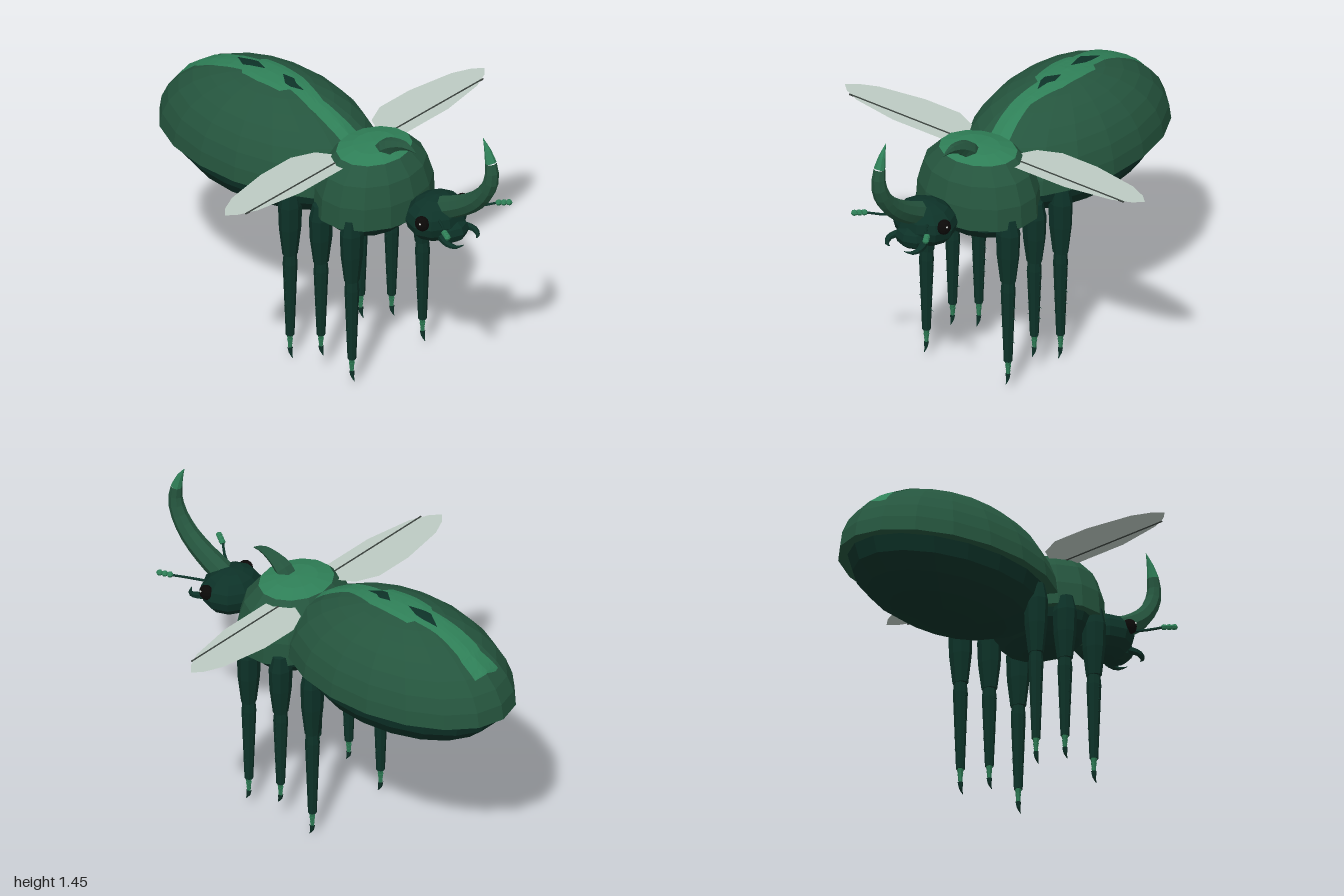
import * as THREE from 'three';

const mat = (name, color, side = THREE.FrontSide) => {
  const m = new THREE.MeshStandardMaterial({ color, side });
  m.name = name;
  return m;
};

export function createModel() {
  const shell = mat('shell green', 0x25553e);
  const dark = mat('dark underside green', 0x0d3228);
  const bright = mat('bright green', 0x2f8058, THREE.DoubleSide);
  const black = mat('eye black', 0x0b0908);
  const white = mat('eye glint', 0xd8dcd8);
  const wingMat = mat('pale wing', 0xbdcbc3, THREE.DoubleSide);
  const veinMat = mat('wing vein', 0x3a413d);
  const root = new THREE.Group();
  root.name = 'beetle';

  // Adds a mesh with faceted normals
  const add = (name, geo, material, pos = [0, 0, 0], parent = root) => {
    const g = geo.index ? geo.toNonIndexed() : geo;
    g.computeVertexNormals();
    const m = new THREE.Mesh(g, material);
    m.name = name;
    m.position.set(...pos);
    parent.add(m);
    return m;
  };
  // Turned form from [radius, y] pairs, listed bottom to top
  const lathe = (pts, sides, sx = 1, sz = 1) =>
    new THREE.LatheGeometry(pts.map(p => new THREE.Vector2(...p)), sides).scale(sx, 1, sz);
  const ball = (rx, ry, rz, w = 12, h = 8) => new THREE.SphereGeometry(1, w, h).scale(rx, ry, rz);
  // Tapered tube through points, radii evenly spaced along its length
  const taper = (pts, radii, sides = 8, n = 8) => {
    const curve = new THREE.CatmullRomCurve3(pts.map(p => new THREE.Vector3(...p)));
    const geo = new THREE.TubeGeometry(curve, n, 1, sides);
    const pos = geo.attributes.position, v = new THREE.Vector3();
    for (let i = 0; i <= n; i++) {
      const c = curve.getPointAt(i / n);
      const f = (i / n) * (radii.length - 1), k = Math.min(Math.floor(f), radii.length - 2);
      const r = THREE.MathUtils.lerp(radii[k], radii[k + 1], f - k);
      for (let j = 0; j <= sides; j++) {
        const id = i * (sides + 1) + j;
        v.fromBufferAttribute(pos, id).sub(c).multiplyScalar(r).add(c);
        pos.setXYZ(id, v.x, v.y, v.z);
      }
    }
    return geo;
  };
  // Quarter-ellipse profile of a dome, with a flat base
  const dome = (h, rings = 8) => [[0, 0], ...Array.from({ length: rings + 1 }, (_, i) => {
    const a = (i / rings) * Math.PI / 2;
    return [i === rings ? 0 : Math.cos(a), h * Math.sin(a)];
  })];

  // Wing cases and abdomen
  const cases = add('wingCases', lathe(dome(0.37), 18, 0.378, 0.61), shell, [0, 0.91, -0.39]);
  add('abdomen', ball(0.335, 0.24, 0.56, 18, 10), dark, [0, 0.91, -0.39]);

  // Painted patches draped over the wing cases; rows are [z, xMin, xMax]
  cases.updateMatrixWorld(true);
  const ray = new THREE.Raycaster();
  const drape = (name, rows, material, lift) => {
    const nu = 6, nv = 36, geo = new THREE.PlaneGeometry(1, 1, nu, nv), pos = geo.attributes.position;
    for (let i = 0; i < pos.count; i++) {
      const u = pos.getX(i) + 0.5;
      const f = (0.5 - pos.getY(i)) * (rows.length - 1), k = Math.min(Math.floor(f), rows.length - 2);
      const [z, a, b] = rows[k].map((q, j) => THREE.MathUtils.lerp(q, rows[k + 1][j], f - k));
      const x = THREE.MathUtils.lerp(a, b, u);
      ray.set(new THREE.Vector3(x + 1e-5, 3, z), new THREE.Vector3(0, -1, 0));
      const hit = ray.intersectObject(cases)[0];
      pos.setXYZ(i, x, (hit ? hit.point.y : 1.1) + lift, z);
    }
    add(name, geo, material);
  };
  drape('backStripe', [
    [-0.9, -0.06, 0.01], [-0.89, -0.09, 0.07], [-0.81, -0.06, 0.07], [-0.78, -0.07, 0.06],
    [-0.65, -0.07, 0.05], [-0.52, -0.06, 0.06], [-0.5, -0.08, 0.09], [-0.4, -0.09, 0.09],
    [-0.27, -0.08, 0.08], [-0.24, -0.04, 0.07], [-0.1, -0.06, 0.03], [0, -0.06, 0.04], [0.12, -0.05, 0.06],
  ], bright, 0.004);
  drape('frontSpot', [[-0.34, 0.02, 0.02], [-0.28, -0.03, 0.03], [-0.25, -0.03, 0.01], [-0.19, 0, 0]], dark, 0.008);
  drape('rearSpot', [[-0.62, 0.02, 0.02], [-0.54, -0.03, 0.03], [-0.5, -0.02, 0.03], [-0.43, 0, 0]], dark, 0.008);

  // Thorax: skirt, bright crown, underside
  add('thoraxShield', lathe([[0, 0], [1, 0], [0.98, 0.11], [0.87, 0.21], [0.63, 0.285]], 14, 0.305, 0.25), shell, [0, 0.86, 0.24]);
  add('thoraxCrown', lathe([[0.63, 0.285], [0.36, 0.305], [0, 0.312]], 14, 0.305, 0.25), bright, [0, 0.86, 0.24]);
  add('thoraxUnderside', ball(0.27, 0.16, 0.21, 14, 8), dark, [0, 0.88, 0.23]);
  add('thoraxHorn', taper([[0, 1.12, 0.28], [0, 1.175, 0.32], [0, 1.21, 0.38], [0, 1.225, 0.44], [0, 1.213, 0.495]],
    [0.045, 0.045, 0.032, 0.02, 0.002], 6), shell);

  // Head and its great horn
  add('head', ball(0.155, 0.11, 0.135, 10, 8), dark, [0, 0.938, 0.625]);
  add('snout', ball(0.09, 0.06, 0.08, 8, 6), dark, [0, 0.9, 0.71]);
  add('headHorn', taper([[0, 0.99, 0.66], [0, 1.065, 0.8], [0, 1.13, 0.885], [0, 1.21, 0.943], [0, 1.28, 0.964], [0, 1.35, 0.957]],
    [0.058, 0.053, 0.048, 0.042, 0.036, 0.027], 8, 10), shell);
  add('headHornTip', taper([[0, 1.35, 0.957], [0, 1.41, 0.937], [0, 1.462, 0.91]], [0.027, 0.016, 0.001], 8, 4), bright);

  for (const s of [1, -1]) {
    const side = s > 0 ? 'left' : 'right';
    // Eye
    add(side + 'Eye', ball(0.03, 0.036, 0.036, 10, 8), black, [s * 0.138, 0.967, 0.66]);
    add(side + 'EyeGlint', ball(0.004, 0.005, 0.005, 6, 4), white, [s * 0.165, 0.98, 0.672]);
    // Mandible
    add(side + 'Mandible', taper([[s * 0.06, 0.895, 0.7], [s * 0.09, 0.885, 0.77], [s * 0.075, 0.875, 0.81], [s * 0.04, 0.88, 0.83]],
      [0.022, 0.018, 0.012, 0.001], 6), dark);
    // Antenna with a segmented club
    add(side + 'Antenna', taper([[s * 0.08, 0.98, 0.71], [s * 0.12, 0.99, 0.77], [s * 0.185, 1.01, 0.84]], [0.007, 0.006], 6, 4), dark);
    for (let i = 0; i < 3; i++) {
      add(side + 'AntennaClub', ball(0.017, 0.014, 0.016, 6, 4), bright, [s * (0.182 + i * 0.013), 1.01 + i * 0.003, 0.84 + i * 0.02]);
    }

    // Wing and its vein
    const outline = [[0.15, 0.12], [0.19, 0.05], [0.3, 0], [0.5, 0], [0.74, 0.04], [0.83, 0.08], [0.875, 0.12],
      [0.83, 0.16], [0.74, 0.2], [0.5, 0.24], [0.2, 0.24]].map(([x, z]) => new THREE.Vector2(s * x, z));
    add(side + 'Wing', new THREE.ShapeGeometry(new THREE.Shape(outline)).rotateX(Math.PI / 2), wingMat, [0, 1.12, 0]);
    add(side + 'WingVein', new THREE.CylinderGeometry(0.004, 0.004, 0.63, 6).rotateZ(Math.PI / 2), veinMat, [s * 0.485, 1.12, 0.18]);

    // Legs hang from the hip at y = 0.91
    [['front', 0.32, 0.965], ['middle', 0.13, 0.9], ['rear', -0.06, 1]].forEach(([place, z, k]) => {
      const leg = new THREE.Group();
      leg.name = `${side}${place[0].toUpperCase()}${place.slice(1)}Leg`;
      leg.position.set(s * 0.238, 0.91, z);
      leg.scale.y = k;
      root.add(leg);
      add('thigh', lathe([[0, -0.36], [0.036, -0.35], [0.052, -0.21], [0.056, -0.09], [0.04, -0.01], [0, 0]], 8, 1.08, 0.9), dark, [0, 0, 0], leg);
      add('shin', lathe([[0, -0.78], [0.02, -0.78], [0.034, -0.4], [0.028, -0.33]], 8), dark, [0, 0, 0], leg);
      for (let i = 0; i < 3; i++) {
        add('footSegment', new THREE.CylinderGeometry(0.017 - i * 0.003, 0.01 - i * 0.001, 0.026, 6), bright, [0, -0.792 - i * 0.024, 0], leg);
      }
      add('claw', taper([[0, -0.845, 0], [0, -0.875, 0.003], [0, -0.9, 0.016]], [0.013, 0.009, 0.001], 6, 4), dark, [0, 0, 0], leg);
      // Shin spines on both edges
      for (let i = 0; i < 5; i++) for (const e of [1, -1]) {
        const spine = new THREE.ConeGeometry(0.005, 0.024, 4).rotateZ(-e * 1.9);
        add('shinSpine', spine, dark, [e * (0.037 - i * 0.002), -0.42 - i * 0.062, 0], leg);
      }
    });
  }
  return root;
}
